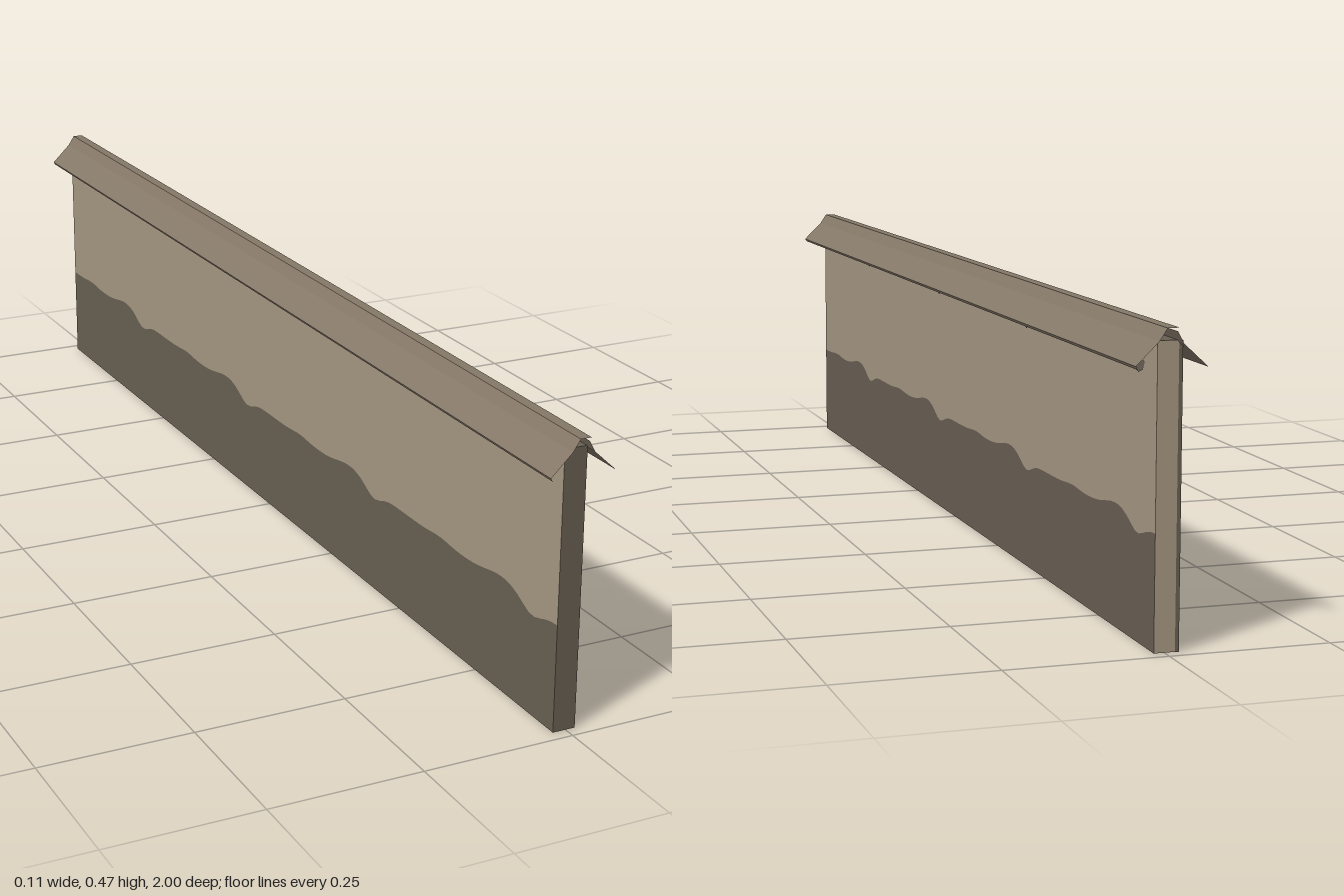
import * as THREE from 'three';

const X0 = -0.022, X1 = 0.016, MID = (X0 + X1) / 2, THICK = X1 - X0;
const H = 0.45, HALF = 0.98;

export function createModel() {
  const plaster = new THREE.MeshStandardMaterial({ color: 0xa59682 });
  plaster.name = 'plaster';
  const base = new THREE.MeshStandardMaterial({ color: 0x685f52 });
  base.name = 'darkBase';
  const roofing = new THREE.MeshStandardMaterial({ color: 0x857868 });
  roofing.name = 'roofing';

  const model = new THREE.Group();
  model.name = 'copedWall';

  // Surfaces are shaded with inward normals throughout
  const add = (parent, geometry, material, name) => {
    const n = geometry.attributes.normal;
    for (let i = 0; i < n.count; i++) n.setXYZ(i, -n.getX(i), -n.getY(i), -n.getZ(i));
    const mesh = new THREE.Mesh(geometry, material);
    mesh.name = name;
    parent.add(mesh);
    return mesh;
  };

  // Wavy upper edge of the dark base, repeating along the wall
  const PERIOD = 0.503;
  const bump = (z, centre, width) => {
    let d = (z - centre) % PERIOD;
    if (d > PERIOD / 2) d -= PERIOD;
    if (d < -PERIOD / 2) d += PERIOD;
    return Math.exp(-((d / width) ** 2));
  };
  const edge = z => 0.175 + 0.013 * bump(z, 0.69, 0.06) - 0.015 * bump(z, 0.6, 0.035)
    + 0.004 * bump(z, 0.88, 0.04);
  const wave = [];
  for (let i = 0; i <= 120; i++) {
    const s = -HALF + (2 * HALF * i) / 120;
    wave.push(new THREE.Vector2(s, edge(-s)));
  }
  const corner = (x, y) => new THREE.Vector2(x, y);

  // Two long sides, the second being the first turned half round
  for (const [name, turn] of [['leftSide', 0], ['rightSide', Math.PI]]) {
    const side = new THREE.Group();
    side.name = name;
    side.position.x = MID;
    side.rotation.y = turn;
    const face = (points, material, label, out = 0) => {
      const g = new THREE.ShapeGeometry(new THREE.Shape(points));
      g.rotateY(Math.PI / 2).translate(THICK / 2 + out, 0, 0);
      add(side, g, material, label);
    };
    face([corner(-HALF, 0), corner(HALF, 0), ...[...wave].reverse()], base, 'sideBase');
    face([...wave, corner(HALF, H), corner(-HALF, H)], plaster, 'sidePlaster');
    // Small stains under the eaves
    for (let k = 0; k < 4; k++) {
      const s = -0.6 + k * PERIOD;
      face([corner(s - 0.025, 0.415), corner(s - 0.018, 0.402), corner(s, 0.396),
        corner(s + 0.018, 0.402), corner(s + 0.025, 0.415)], base, 'stain', 0.001);
    }
    model.add(side);
  }

  // Ends, top and underside of the wall
  const plate = (w, h) => new THREE.PlaneGeometry(w, h);
  add(model, plate(THICK, H).translate(MID, H / 2, HALF), base, 'frontEnd');
  add(model, plate(THICK, H).rotateY(Math.PI).translate(MID, H / 2, -HALF), plaster, 'backEnd');
  add(model, plate(0.006, H).rotateY(Math.PI).translate(X0 + 0.003, H / 2, -HALF - 0.001),
    base, 'backEndStripe');
  add(model, plate(THICK, 2 * HALF).rotateX(-Math.PI / 2).translate(MID, H, 0), base, 'wallTop');
  add(model, plate(THICK, 2 * HALF).rotateX(Math.PI / 2).translate(MID, 0, 0), base, 'wallBottom');

  // Thin folded coping: outer skin, eave edges and inner skin, open at both ends
  const outer = [[-0.056, 0.418], [-0.021, 0.452], [-0.009, 0.47]];
  const inner = [[0.006, 0.465], [0.016, 0.447], [0.053, 0.413]];
  const mirror = list => list.map(([x, y]) => [-x, y]).reverse();
  const loop = [...outer, ...mirror(outer), ...[...inner].reverse(), ...mirror(inner).reverse()];
  const positions = [];
  loop.forEach((a, i) => {
    const b = loop[(i + 1) % loop.length];
    const p = [[...a, 1], [...b, 1], [...b, -1], [...a, -1]];
    for (const k of [0, 1, 2, 0, 2, 3]) positions.push(...p[k]);
  });
  const coping = new THREE.BufferGeometry();
  coping.setAttribute('position', new THREE.Float32BufferAttribute(positions, 3));
  coping.computeVertexNormals();
  add(model, coping, roofing, 'roofCoping');

  return model;
}
